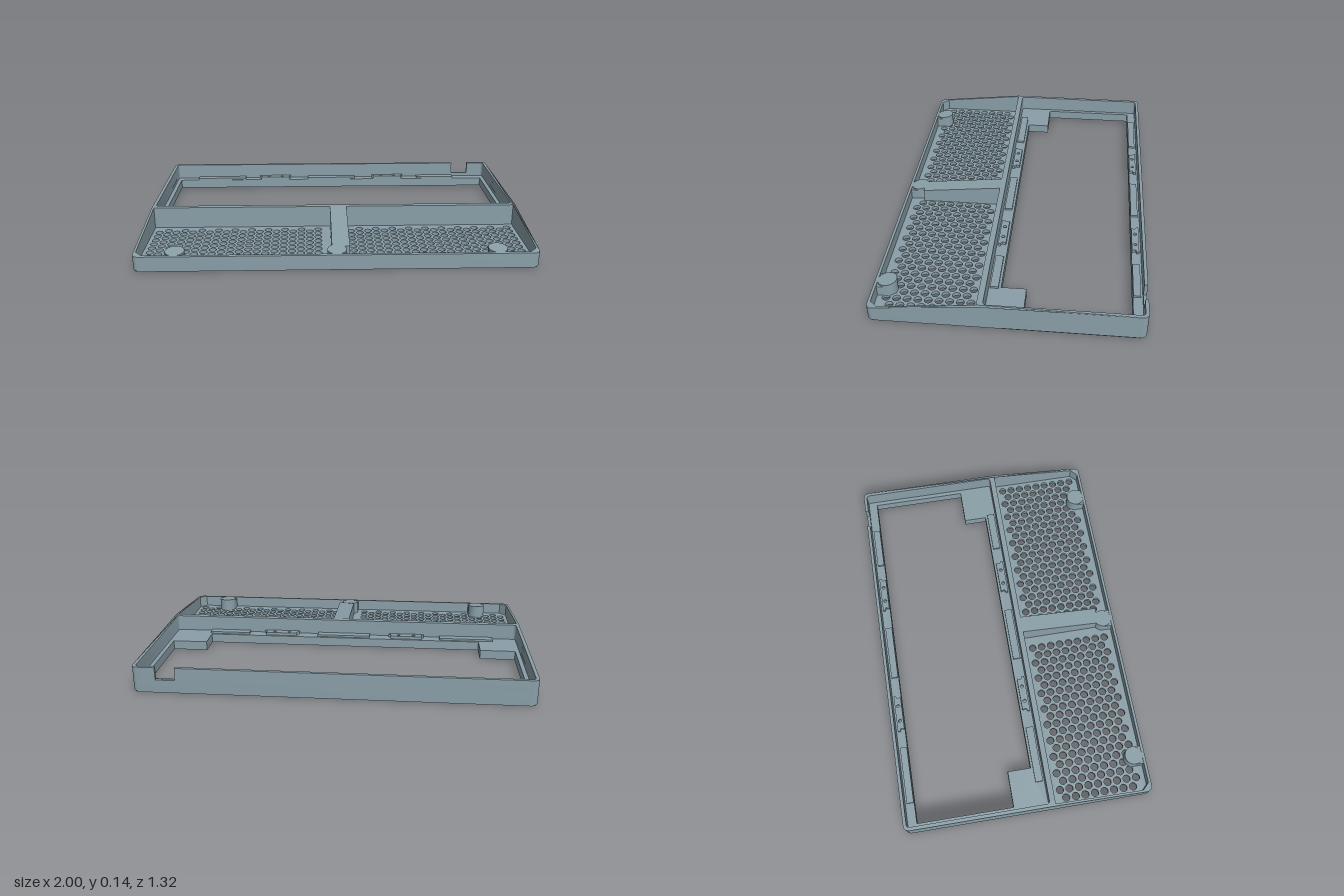
import * as THREE from 'three';
import { toCreasedNormals } from 'three/addons/utils/BufferGeometryUtils.js';

const KINK = 0.135, HIGH = 0.136, LOW = 0.08, FRONT = 0.66;
// Rim height: level at the back, sloping down towards the front
const rim = z => z <= KINK ? HIGH : HIGH - (HIGH - LOW) * (z - KINK) / (FRONT - KINK);
const P = (x, z) => new THREE.Vector2(x, -z);

// Rounded rectangle, starting at the back right corner; with points where the rim bends
function rounded(x0, z0, x1, z1, r, bend = false) {
  const pts = [];
  const corners = [[x1 - r, z0 + r, -90], [x1 - r, z1 - r, 0], [x0 + r, z1 - r, 90], [x0 + r, z0 + r, 180]];
  corners.forEach(([cx, cz, start], i) => {
    for (let k = 0; k <= 5; k++) {
      const a = THREE.MathUtils.degToRad(start + k * 18);
      pts.push(P(cx + r * Math.cos(a), cz + r * Math.sin(a)));
    }
    if (bend && i === 0) pts.push(P(x1, KINK));
    if (bend && i === 2) pts.push(P(x0, KINK));
  });
  return pts;
}

// Round hole or disc outline
const circle = (x, z, r) => Array.from({ length: 12 }, (_, k) =>
  P(x + r * Math.cos(k * Math.PI / 6), z + r * Math.sin(k * Math.PI / 6)));

// Flat slab from a ground-plane outline, between heights y0 and y1 (outline made anticlockwise)
function slab(outline, holes, y0, y1) {
  const ccw = THREE.ShapeUtils.isClockWise(outline) ? [...outline].reverse() : outline;
  const shape = new THREE.Shape(ccw);
  holes.forEach(h => shape.holes.push(new THREE.Path(h)));
  const g = new THREE.ExtrudeGeometry(shape, { depth: y1 - y0, bevelEnabled: false });
  return g.rotateX(-Math.PI / 2).translate(0, y0, 0);
}

// Bring every vertex above a level up or down to the sloping rim
function cutToRim(g, level, drop = 0) {
  const p = g.attributes.position;
  for (let i = 0; i < p.count; i++) {
    if (p.getY(i) > level) p.setY(i, rim(p.getZ(i)) - drop);
  }
  g.computeVertexNormals();
  return toCreasedNormals(g, 0.6);
}

export function createModel() {
  const group = new THREE.Group();
  const grey = new THREE.MeshStandardMaterial({ color: 0x8a9fa8 });
  grey.name = 'blue grey';
  const add = (name, geometry, x = 0, y = 0, z = 0) => {
    const m = new THREE.Mesh(geometry, grey);
    m.name = name;
    m.position.set(x, y, z);
    group.add(m);
  };

  const outer = rounded(-1, -FRONT, 1, FRONT, 0.03, true);
  const backBay = rounded(-0.982, -0.643, 0.982, 0.105, 0.015);
  const frontBay = [P(-0.988, KINK), P(0.988, KINK), P(0.988, 0.61),
    P(0.953, 0.645), P(-0.953, 0.645), P(-0.988, 0.61)];
  const opening = [P(-0.96, -0.595), P(0.96, -0.595), P(0.96, -0.08), P(0.77, -0.08),
    P(0.77, 0.045), P(-0.77, 0.045), P(-0.77, -0.08), P(-0.96, -0.08)];

  // Staggered round holes in the two halves of the front floor
  const vents = [];
  for (const startX of [-0.952, 0.09]) {
    for (let c = 0; c < 20; c++) {
      const odd = c % 2;
      for (let r = 0; r < 8 + odd; r++) {
        vents.push(circle(startX + c * 0.0453, (odd ? 0.181 : 0.207) + r * 0.0523, 0.0198));
      }
    }
  }

  // Floor, set in slightly so a fine step runs around the bottom
  add('perforatedFloor', slab(rounded(-0.996, -0.656, 0.996, 0.656, 0.028), [opening, ...vents], 0, 0.02));

  // Walls and cross wall: closed lower ring, then an upper ring with a notch at the back
  add('lowerWalls', toCreasedNormals(slab(outer, [backBay, frontBay], 0.006, 0.07), 0.6));
  const notched = [P(0.88, -FRONT), ...outer, P(0.78, -FRONT),
    P(0.78, -0.643), ...[...backBay].reverse(), P(0.88, -0.643)];
  add('upperWalls', cutToRim(slab(notched, [frontBay], 0.07, HIGH), 0.1));

  // Ledge around the rear opening
  add('openingLedge', slab(rounded(-0.984, -0.645, 0.984, 0.107, 0.015), [opening], 0.02, 0.05));

  // Raised strips and waisted clips with pin holes along both long sides of the ledge
  for (const [edge, wall, side] of [[-0.597, -0.634, 'back'], [0.057, 0.098, 'front']]) {
    const mid = (wall + edge) / 2;
    for (const [x0, x1] of [[-0.85, -0.55], [-0.15, 0.15], [0.55, 0.78]]) {
      add(side + 'LedgeStrip', new THREE.BoxGeometry(x1 - x0, 0.012, Math.abs(wall - edge)), (x0 + x1) / 2, 0.055, mid);
    }
    const profile = [[-0.1, 0], [0.1, 0], [0.1, 0.3], [0.085, 0.5], [0.09, 1], [-0.09, 1], [-0.085, 0.5], [-0.1, 0.3]];
    for (const cx of [-0.36, 0.36]) {
      const clip = profile.map(([x, t]) => P(cx + x, wall + t * (edge - wall)));
      const pins = [-0.042, 0.042].map(dx => circle(cx + dx, mid, 0.009));
      add(side + 'Clip', slab(clip, pins, 0.045, 0.066));
    }
  }

  // Sloping rib dividing the front bay
  const rib = new THREE.BoxGeometry(0.09, 0.1, 0.44).translate(0.02, 0.065, 0.35);
  add('centreRib', cutToRim(rib, 0.065, 0.001));

  // Round posts with sloping tops behind the front wall, each joined to it by a web
  for (const x of [-0.8, 0, 0.8]) {
    const post = new THREE.CylinderGeometry(0.048, 0.048, 0.07, 28).translate(x, 0.05, 0.6);
    add('frontPost', cutToRim(post, 0.05, 0.0005));
    add('postWeb', new THREE.BoxGeometry(0.096, 0.06, 0.046), x, 0.045, 0.624);
  }
  return group;
}
